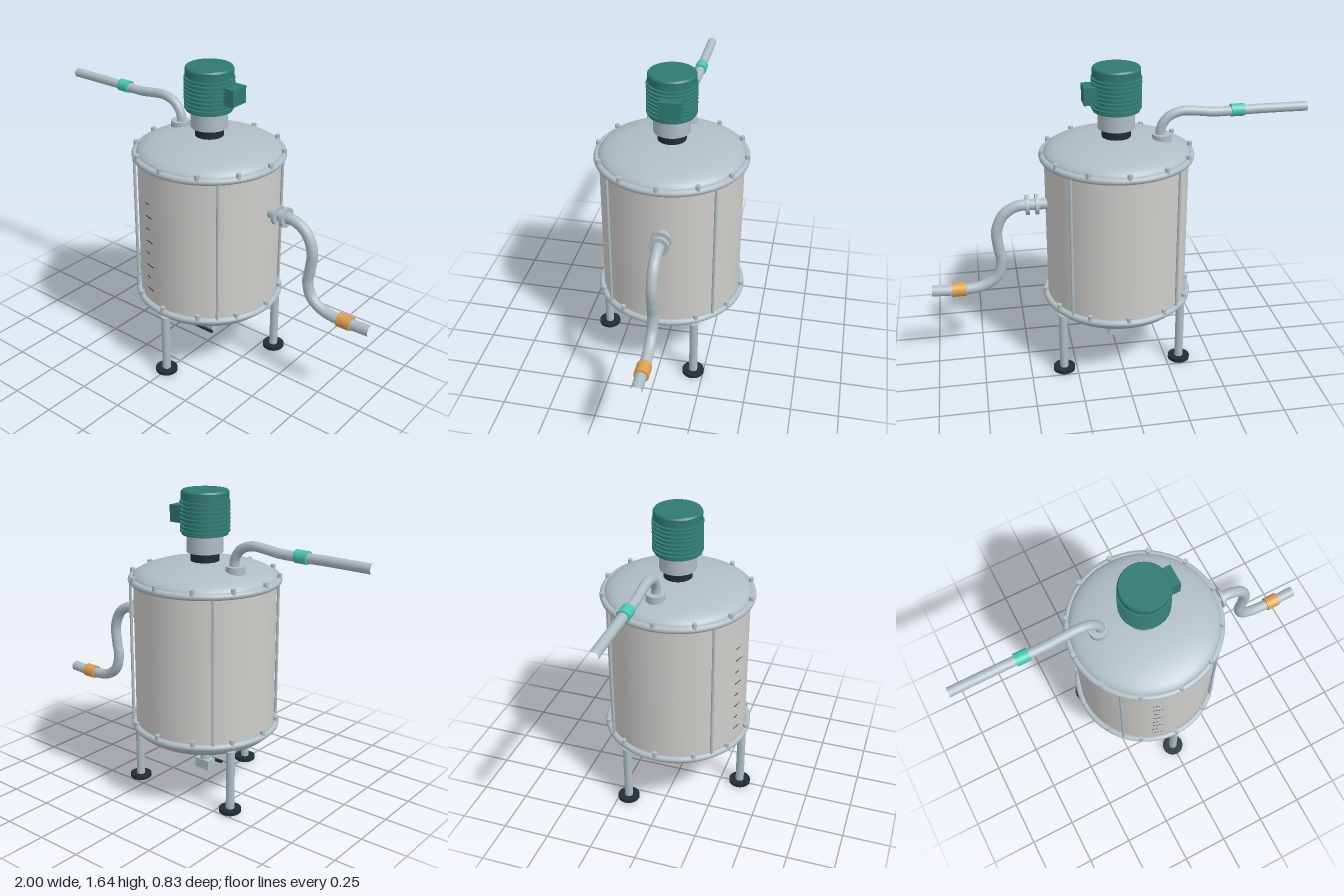
import * as THREE from 'three';

const mat = (name, color) => {
  const m = new THREE.MeshStandardMaterial({ color });
  m.name = name;
  return m;
};

export function createModel() {
  const steel = mat('blue grey steel', 0xb0bec5);
  const shellGrey = mat('warm light grey', 0xcfcdca);
  const black = mat('black rubber', 0x222d33);
  const green = mat('motor green', 0x2f7a72);
  const teal = mat('teal band', 0x4ac7b4);
  const orange = mat('orange band', 0xd9a050);

  const model = new THREE.Group();
  const tank = new THREE.Group();
  tank.name = 'tank';
  tank.position.z = -0.01;
  model.add(tank);

  const add = (parent, name, geo, material, x = 0, y = 0, z = 0) => {
    const m = new THREE.Mesh(geo, material);
    m.name = name;
    m.position.set(x, y, z);
    parent.add(m);
    return m;
  };
  // Upright cylinder between two heights
  const post = (parent, name, r, y0, y1, material, x = 0, z = 0, sides = 32) =>
    add(parent, name, new THREE.CylinderGeometry(r, r, y1 - y0, sides), material, x, (y0 + y1) / 2, z);
  // Cylinder along x between two positions
  const bar = (parent, name, r, x0, x1, material, y, z) => {
    const m = add(parent, name, new THREE.CylinderGeometry(r, r, x1 - x0, 28), material, (x0 + x1) / 2, y, z);
    m.rotation.z = Math.PI / 2;
    return m;
  };
  const pipe = (name, points, r, z) => {
    const curve = new THREE.CatmullRomCurve3(points.map(([x, y]) => new THREE.Vector3(x, y, z)));
    return add(model, name, new THREE.TubeGeometry(curve, 80, r, 20), steel);
  };

  // Shell and domed ends
  add(tank, 'shell', new THREE.CylinderGeometry(0.376, 0.376, 0.8, 64, 1, true), shellGrey, 0, 0.785);
  const dome = new THREE.SphereGeometry(1, 64, 12, 0, Math.PI * 2, 0, Math.PI / 2);
  add(tank, 'topDome', dome, steel, 0, 1.19, 0).scale.set(0.382, 0.09, 0.382);
  const bottom = add(tank, 'bottomDome', dome, steel, 0, 0.378, 0);
  bottom.scale.set(0.385, 0.114, 0.385);
  bottom.rotation.x = Math.PI;

  // Flange rings with bolts
  for (const y of [0.385, 1.185]) {
    const ring = add(tank, 'flange', new THREE.TorusGeometry(0.386, 0.018, 12, 72), steel, 0, y);
    ring.rotation.x = Math.PI / 2;
    for (let i = 0; i < 12; i++) {
      const a = i * Math.PI / 6;
      post(tank, 'bolt', 0.013, y, y + 0.037, steel, 0.39 * Math.sin(a), 0.39 * Math.cos(a), 8);
    }
  }

  // Tie rods
  for (let i = 0; i < 4; i++) {
    const a = Math.PI / 4 + i * Math.PI / 2;
    post(tank, 'tieRod', 0.008, 0.385, 1.185, steel, 0.391 * Math.sin(a), 0.391 * Math.cos(a), 10);
  }

  // Level marks, short and long in turn
  for (let i = 0; i < 8; i++) {
    const geo = new THREE.CylinderGeometry(0.3785, 0.3785, 0.006, 8, 1, true, -0.36, i % 2 ? 0.15 : 0.085);
    add(tank, 'levelMark', geo, black, 0, 0.98 - i * 0.072);
  }

  // Legs and feet
  for (let i = 0; i < 3; i++) {
    const a = i * Math.PI * 2 / 3;
    const x = 0.371 * Math.sin(a), z = 0.371 * Math.cos(a);
    post(tank, 'leg', 0.023, 0.015, 0.35, steel, x, z, 20);
    post(tank, 'foot', 0.059, 0.006, 0.024, black, x, z);
    post(tank, 'footPad', 0.052, 0, 0.006, black, x, z);
  }

  // Drain and valve
  post(tank, 'drainPipe', 0.027, 0.12, 0.29, steel, 0, 0, 20);
  add(tank, 'valveBody', new THREE.BoxGeometry(0.09, 0.055, 0.06), steel, 0, 0.118);
  bar(tank, 'valveHandle', 0.009, -0.07, 0.07, black, 0.118, 0.06);

  // Agitator motor
  post(tank, 'coupling', 0.075, 1.26, 1.33, black);
  post(tank, 'motorAdapter', 0.096, 1.325, 1.42, steel);
  post(tank, 'motorBody', 0.115, 1.418, 1.62, green);
  post(tank, 'motorBase', 0.121, 1.418, 1.428, green);
  for (let i = 0; i < 8; i++) {
    const y = 1.434 + i * 0.0212;
    post(tank, 'coolingFin', 0.13, y, y + 0.009, green);
  }
  const cap = [[0, 1.6], [0.124, 1.6], [0.124, 1.636], [0.118, 1.645], [0, 1.645]];
  for (let i = 1; i < cap.length; i++) {
    const pts = [cap[i - 1], cap[i]].map(p => new THREE.Vector2(...p));
    add(tank, 'motorCap', new THREE.LatheGeometry(pts, 40), green);
  }
  add(tank, 'terminalBox', new THREE.BoxGeometry(0.075, 0.09, 0.108), green, 0.138, 1.515, -0.02);

  // Inlet pipe on the lid
  post(model, 'inletCollar', 0.05, 1.22, 1.29, steel, -0.23, -0.05);
  pipe('inletPipe', [[-1, 1.395], [-0.75, 1.395], [-0.5, 1.392], [-0.42, 1.401], [-0.33, 1.405],
    [-0.265, 1.38], [-0.228, 1.33], [-0.22, 1.26]], 0.025, -0.05);
  bar(model, 'inletBand', 0.033, -0.66, -0.59, teal, 1.395, -0.05);

  // Outlet pipe on the side
  pipe('outletPipe', [[0.35, 0.937], [0.46, 0.937], [0.53, 0.933], [0.6, 0.89], [0.64, 0.8], [0.635, 0.7],
    [0.624, 0.62], [0.65, 0.535], [0.72, 0.485], [0.82, 0.468], [1, 0.472]], 0.029, -0.04);
  for (const x of [0.425, 0.475]) bar(model, 'outletFlange', 0.053, x - 0.009, x + 0.009, steel, 0.937, -0.04);
  bar(model, 'outletBand', 0.038, 0.82, 0.895, orange, 0.47, -0.04);

  return model;
}
